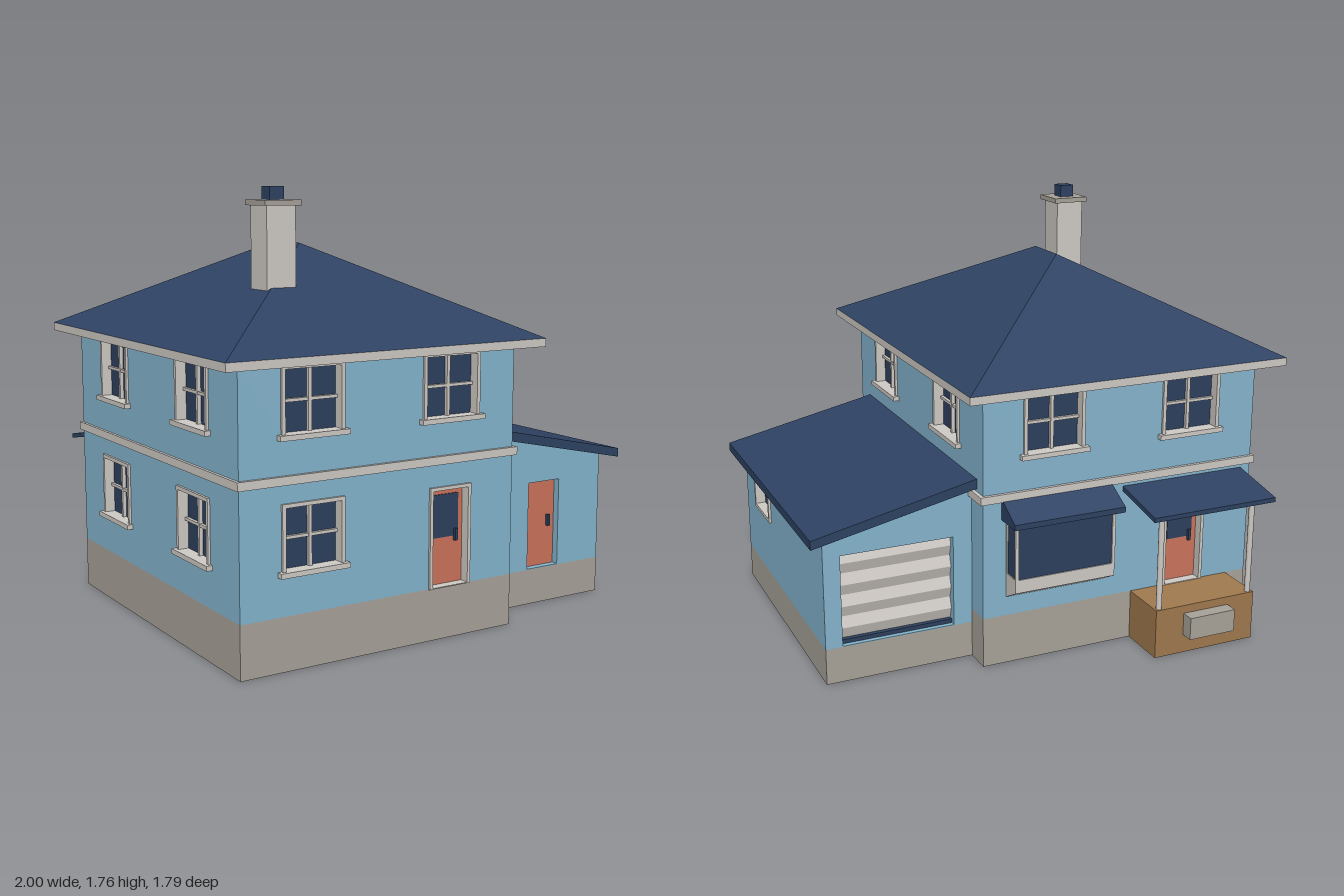
import * as THREE from 'three';

const mat = (name, color, side = THREE.FrontSide) => {
  const m = new THREE.MeshStandardMaterial({ color, side });
  m.name = name;
  return m;
};

export function createModel() {
  const blue = mat('wallBlue', 0x85b5ce, THREE.DoubleSide);
  const stone = mat('stoneGrey', 0xa8a299, THREE.DoubleSide);
  const navy = mat('roofNavy', 0x2e4263);
  const glass = mat('glassNavy', 0x2d405e, THREE.DoubleSide);
  const trim = mat('trimWhite', 0xcfcac5, THREE.DoubleSide);
  const coral = mat('doorCoral', 0xcb735b);
  const wood = mat('deckBrown', 0xa07a4e);

  const house = new THREE.Group();
  house.name = 'house';

  const add = (parent, name, geometry, material) => {
    const m = new THREE.Mesh(geometry, material);
    m.name = name;
    parent.add(m);
    return m;
  };
  // Box given by its minimum and maximum on each axis
  const box = (parent, name, material, x0, x1, y0, y1, z0, z1) => {
    const m = add(parent, name, new THREE.BoxGeometry(x1 - x0, y1 - y0, z1 - z0), material);
    m.position.set((x0 + x1) / 2, (y0 + y1) / 2, (z0 + z1) / 2);
    return m;
  };
  const poly = (points, Kind = THREE.Shape) => new Kind(points.map(([x, y]) => new THREE.Vector2(x, y)));
  const rect = (x0, x1, y0, y1) => [[x0, y0], [x1, y0], [x1, y1], [x0, y1]];
  // Prism along x from a (z, y) profile
  const prismX = (parent, name, material, profile, x0, x1) => {
    const g = new THREE.ExtrudeGeometry(poly(profile), { depth: x1 - x0, bevelEnabled: false });
    g.rotateY(-Math.PI / 2).translate(x1, 0, 0);
    return add(parent, name, g, material);
  };

  // Ring lining an opening, from depth -d to front f
  const lining = (parent, name, material, o, t, d, f) => {
    const s = poly(rect(o.x0 - t, o.x1 + t, o.y0 - (o.sunk ? 0.001 : t), o.y1 + t));
    s.holes.push(poly(rect(o.x0, o.x1, o.y0 + (o.sunk ? 0.003 : 0), o.y1), THREE.Path));
    const g = new THREE.ExtrudeGeometry(s, { depth: d + f, bevelEnabled: false });
    add(parent, name, g.translate(0, 0, -d), material);
  };

  const fill = {
    window(g, o) {
      const cx = (o.x0 + o.x1) / 2, cy = (o.y0 + o.y1) / 2;
      lining(g, 'windowFrame', trim, o, 0.015, 0.04, 0.01);
      box(g, 'windowGlass', glass, o.x0, o.x1, o.y0, o.y1, -0.04, -0.033);
      if (o.plain) return;
      box(g, 'mullion', trim, cx - 0.007, cx + 0.007, o.y0, o.y1, -0.033, -0.018);
      box(g, 'glazingBar', trim, o.x0, o.x1, cy - 0.006, cy + 0.006, -0.033, -0.02);
      box(g, 'windowSill', trim, o.x0 - 0.03, o.x1 + 0.03, o.y0 - 0.02, o.y0, -0.01, 0.025);
    },
    door(g, o) {
      if (o.plain) lining(g, 'doorReveal', blue, o, 0.003, 0.04, 0);
      else lining(g, 'doorFrame', trim, o, 0.014, 0.04, 0.01);
      box(g, 'doorLeaf', coral, o.x0, o.x1, o.y0, o.y1, -0.04, -0.03);
      if (!o.plain) box(g, 'doorPane', glass, o.x0 + 0.024, o.x1 - 0.022, o.y0 + 0.19, o.y1 - 0.025, -0.03, -0.026);
      const y = o.y0 + 0.172;
      box(g, 'doorHandle', glass, o.x1 - 0.042, o.x1 - 0.03, y, y + 0.048, -0.03, -0.015);
    },
    garage(g, o) {
      lining(g, 'garageReveal', blue, o, 0.003, 0.05, 0);
      // Folded slats, alternately tilted up and down
      const n = 8, pts = [[o.x0, -0.05]], zig = [];
      const h = (o.y1 - o.y0 - 0.02) / n;
      for (let i = 0; i <= n; i++) zig.push([i % 2 ? -0.026 : -0.04, o.y0 + 0.02 + i * h]);
      const profile = [[-0.05, o.y0 + 0.02], ...zig, [-0.05, o.y1]];
      prismX(g, 'garageDoor', trim, profile, o.x0, o.x1);
      box(g, 'garageSeal', glass, o.x0, o.x1, o.y0 + 0.003, o.y0 + 0.02, -0.05, -0.02);
    },
  };

  // Wall in its own plane: outward is local +z
  const wall = (name, pos, turn, u0, u1, base, topL, topR, openings) => {
    const g = new THREE.Group();
    g.name = name;
    g.position.set(pos[0], 0, pos[1]);
    g.rotation.y = turn;
    house.add(g);
    const s = poly([[u0, base], [u1, base], [u1, topR], [u0, topL]]);
    openings.forEach((o) => {
      s.holes.push(poly(rect(o.x0, o.x1, o.y0 + (o.sunk ? 0.0005 : 0), o.y1), THREE.Path));
      fill[o.kind](g, o);
    });
    add(g, name + 'Panel', new THREE.ShapeGeometry(s), blue);
    add(g, name + 'Foundation', new THREE.ShapeGeometry(poly(rect(u0, u1, 0, base))), stone);
  };
  const open = (kind, x0, x1, y0, y1, extra = {}) => ({ kind, x0, x1, y0, y1, ...extra });
  const win = (cx, y0) => open('window', cx - 0.118, cx + 0.118, y0, y0 + 0.235);
  const UP = 0.883, LOW = 0.38, Q = Math.PI / 2;

  // Main block walls
  wall('frontWall', [0, 0.81], 0, -0.91, 0.32, 0.21, 1.14, 1.14, [
    win(-0.605, UP), win(0.015, UP), win(-0.605, LOW),
    open('door', -0.07, 0.097, 0.21, 0.597, { sunk: true })]);
  wall('backWall', [0, -0.63], Math.PI, -0.32, 0.91, 0.21, 1.14, 1.14, [
    win(0.605, UP), win(-0.015, UP),
    open('door', 0.51, 0.675, 0.21, 0.597, { sunk: true })]);
  wall('leftWall', [0.32, 0], Q, -0.81, 0.63, 0.21, 1.14, 1.14, [win(-0.452, UP), win(0.265, UP)]);
  wall('rightWall', [-0.91, 0], -Q, -0.63, 0.81, 0.21, 1.14, 1.14,
    [-0.265, 0.452].flatMap((z) => [win(z, UP), win(z, LOW)]));

  // Side extension walls
  wall('extensionFront', [0, 0.645], 0, 0.32, 0.94, 0.15, 0.75, 0.615,
    [open('door', 0.55, 0.715, 0.15, 0.525, { sunk: true, plain: true })]);
  wall('extensionBack', [0, -0.517], Math.PI, -0.94, -0.32, 0.15, 0.615, 0.75,
    [open('garage', -0.87, -0.4, 0.15, 0.535, { sunk: true })]);
  wall('extensionSide', [0.94, 0], Q, -0.645, 0.517, 0.15, 0.615, 0.615,
    [open('window', -0.457, -0.253, 0.42, 0.57, { plain: true })]);
  const leanTo = new THREE.ExtrudeGeometry(poly([[0.32, 0.745], [1, 0.6], [1, 0.637], [0.32, 0.785]]),
    { depth: 1.27, bevelEnabled: false });
  add(house, 'extensionRoof', leanTo.translate(0, 0, -0.57), navy);

  // Belt course round the main block
  box(house, 'beltFront', trim, -0.922, 0.335, 0.7, 0.733, 0.81, 0.824);
  box(house, 'beltBack', trim, -0.922, 0.335, 0.7, 0.733, -0.644, -0.63);
  box(house, 'beltRight', trim, -0.922, -0.91, 0.7, 0.733, -0.63, 0.81);
  box(house, 'beltLeft', trim, 0.32, 0.335, 0.7, 0.733, -0.63, 0.81);

  // Eaves and hipped roof
  box(house, 'eaves', trim, -1, 0.41, 1.135, 1.168, -0.72, 0.895);
  const A = [-1, 1.168, 0.895], B = [0.41, 1.168, 0.895], C = [0.41, 1.168, -0.72], D = [-1, 1.168, -0.72];
  const R = [-0.295, 1.53, 0.195], S = [-0.295, 1.53, -0.01];
  const hip = new THREE.BufferGeometry();
  hip.setAttribute('position', new THREE.Float32BufferAttribute(
    [A, B, R, B, C, S, B, S, R, C, D, S, D, A, R, D, R, S].flat(), 3));
  hip.computeVertexNormals();
  add(house, 'hippedRoof', hip, navy);

  // Chimney
  box(house, 'chimneyStack', trim, -0.61, -0.485, 1.25, 1.685, 0.365, 0.49);
  box(house, 'chimneyCap', stone, -0.625, -0.468, 1.685, 1.706, 0.35, 0.505);
  box(house, 'chimneyPot', navy, -0.58, -0.517, 1.706, 1.757, 0.397, 0.46);

  // Bay window on the back
  const bx = 0.22;
  prismX(house, 'bayApron', trim, [[-0.63, 0.29], [-0.72, 0.34], [-0.72, 0.395], [-0.63, 0.395]], -bx, bx);
  box(house, 'bayGlass', glass, -bx + 0.004, bx - 0.004, 0.395, 0.625, -0.716, -0.63);
  for (const s of [-1, 1]) {
    const x = s * (bx - 0.006);
    box(house, 'bayPost', trim, x - 0.007, x + 0.007, 0.395, 0.625, -0.721, -0.709);
    box(house, 'bayJamb', trim, x - 0.007, x + 0.007, 0.395, 0.625, -0.64, -0.63);
  }
  prismX(house, 'bayRoof', navy, [[-0.63, 0.622], [-0.755, 0.622], [-0.755, 0.645], [-0.63, 0.71]], -0.245, 0.24);

  // Back porch
  box(house, 'porchDeck', wood, -0.815, -0.35, 0, 0.21, -0.845, -0.631);
  box(house, 'porchStep', stone, -0.69, -0.48, 0.08, 0.175, -0.9, -0.845);
  prismX(house, 'porchRoof', navy, [[-0.63, 0.662], [-0.89, 0.617], [-0.89, 0.636], [-0.63, 0.683]], -0.865, -0.3);
  for (const x of [-0.795, -0.37]) {
    add(house, 'porchPost', new THREE.CylinderGeometry(0.012, 0.012, 0.415, 12), trim).position.set(x, 0.4175, -0.828);
    add(house, 'postCapital', new THREE.CylinderGeometry(0.021, 0.014, 0.025, 12), trim).position.set(x, 0.613, -0.828);
  }
  return house;
}
